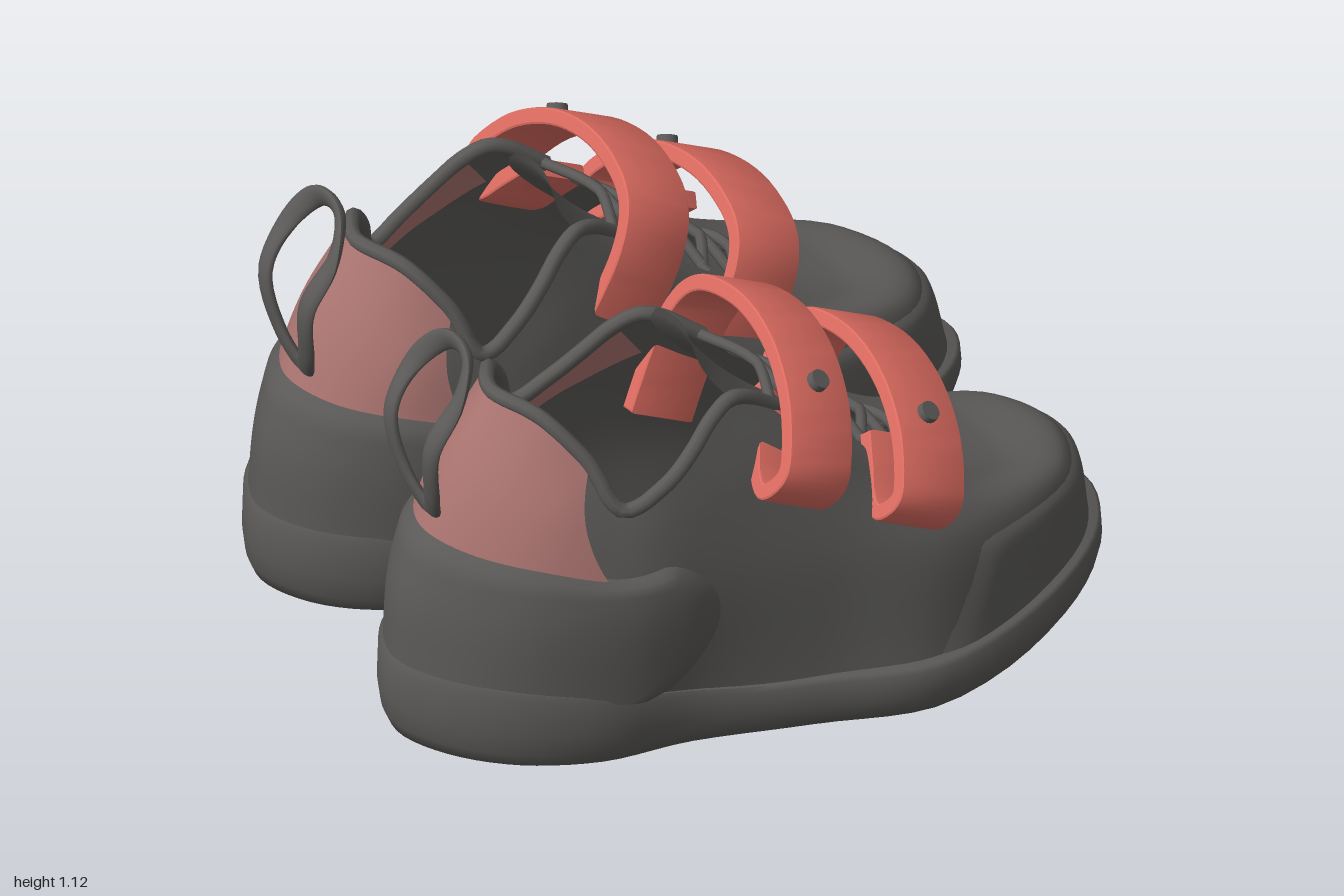
import * as THREE from 'three';
import { toCreasedNormals } from 'three/addons/utils/BufferGeometryUtils.js';

const V = (x, y, z) => new THREE.Vector3(x, y, z);
const N = 18; // control points in each loop: toe, outer side, heel, inner side

// Loop stations from toe to heel: [x, y, zInner, zOuter]
const SOLE = [[.95, 0, .37, .37], [.87, 0, .22, .59], [.63, 0, .105, .79], [.25, 0, .065, .91], [-.05, 0, .09, .83],
  [-.35, 0, .055, .765], [-.6, 0, .045, .76], [-.8, 0, .1, .68], [-.94, 0, .22, .54], [-1, 0, .38, .38]];
const BASE = [[.91, .17, .37, .37], [.83, .16, .23, .58], [.59, .15, .12, .77], [.27, .13, .09, .87], [-.02, .13, .11, .81],
  [-.32, .16, .075, .75], [-.54, .2, .06, .74], [-.76, .22, .12, .66], [-.9, .23, .23, .53], [-.96, .23, .38, .38]];
const MIDDLE = [[.83, .41, .4, .4], [.75, .41, .23, .62], [.53, .41, .16, .74], [.29, .43, .11, .81], [0, .47, .11, .79],
  [-.3, .45, .07, .76], [-.52, .45, .06, .745], [-.74, .45, .12, .66], [-.88, .45, .23, .52], [-.94, .45, .38, .38]];
const SHOULDER = [[.63, .43, .42, .42], [.58, .45, .28, .59], [.41, .5, .22, .67], [.22, .59, .19, .69], [-.05, .71, .17, .72],
  [-.33, .66, .1, .73], [-.52, .6, .09, .71], [-.68, .68, .14, .63], [-.79, .72, .25, .51], [-.83, .74, .38, .38]];
const COLLAR = [[.42, .48, .45, .45], [.36, .52, .34, .56], [.15, .67, .28, .59], [-.05, .83, .25, .62], [-.2, .91, .2, .65],
  [-.38, .77, .13, .7], [-.51, .7, .11, .68], [-.57, .82, .16, .61], [-.65, .92, .25, .51], [-.71, .94, .38, .38]];

function loop(st) {
  const outer = st.map(([x, y, , z]) => V(x, y, z));
  const inner = st.slice(1, -1).reverse().map(([x, y, z]) => V(x, y, z));
  return new THREE.CatmullRomCurve3([...outer, ...inner], true);
}
const at = (curve, u) => curve.getPoint((((u % N) + N) % N) / N);
const soleLoop = loop(SOLE), collarLoop = loop(COLLAR);
const upperLoops = [loop(BASE), loop(MIDDLE), loop(SHOULDER), collarLoop];

// Point on the upper, optionally pushed out along its normal
const skin = (u, v) => new THREE.CatmullRomCurve3(upperLoops.map(c => at(c, u))).getPoint(v);
function upperPoint(u, v, offset = 0) {
  const p = skin(u, v);
  if (!offset) return p;
  const e = .01;
  const du = skin(u + e, v).sub(skin(u - e, v));
  const dv = skin(u, Math.min(1, v + e)).sub(skin(u, Math.max(0, v - e)));
  return p.addScaledVector(dv.cross(du).normalize(), offset);
}

// Surface from a function of p and q in 0..1, p running round the shoe and q upwards
function grid(fn, np, nq, closed = false) {
  const pos = [], idx = [], cols = closed ? np : np + 1;
  for (let j = 0; j <= nq; j++)
    for (let i = 0; i < cols; i++) pos.push(...fn(i / np, j / nq).toArray());
  for (let j = 0; j < nq; j++)
    for (let i = 0; i < np; i++) {
      const a = j * cols + i, b = j * cols + (i + 1) % cols;
      idx.push(a, a + cols, b, b, a + cols, b + cols);
    }
  const g = new THREE.BufferGeometry();
  g.setAttribute('position', new THREE.Float32BufferAttribute(pos, 3));
  g.setIndex(idx);
  g.computeVertexNormals();
  return g;
}

const step = THREE.MathUtils.smoothstep;
const soleBottom = x => .02 * step(-x, 0, .8) + .1 * Math.pow(Math.max(0, (x - .25) / .7), 1.5);
const soleTop = x => .15 + .11 * step(-x, .1, .9) + .05 * step(x, .2, .95);

// Sole rings with a rounded lower edge: [inset towards the middle line, height fraction]
const SOLE_RINGS = [[1, 0], [.4, 0], [.15, .02], [.06, .1], [.02, .25], [0, .5], [.008, .92], [.03, 1], [.5, 1], [1, 1]];
function soleGeometry() {
  const g = grid((p, q) => {
    const [inset, h] = SOLE_RINGS[Math.round(q * (SOLE_RINGS.length - 1))];
    const o = at(soleLoop, p * N);
    const x = THREE.MathUtils.lerp(o.x, THREE.MathUtils.clamp(o.x, -.6, .5), inset);
    const z = THREE.MathUtils.lerp(o.z, .42, inset);
    return V(x, THREE.MathUtils.lerp(soleBottom(x), soleTop(x), h), z);
  }, 90, SOLE_RINGS.length - 1, true);
  return toCreasedNormals(g, 1);
}

// Band of even thickness following a flat path
function bandGeometry(points, thickness, width) {
  const curve = new THREE.SplineCurve(points.map(([x, y]) => new THREE.Vector2(x, y)));
  const left = [], right = [];
  for (let i = 0; i <= 60; i++) {
    const p = curve.getPoint(i / 60), t = curve.getTangent(i / 60);
    const n = new THREE.Vector2(-t.y, t.x).multiplyScalar(thickness / 2);
    left.push(p.clone().add(n));
    right.unshift(p.clone().sub(n));
  }
  const g = new THREE.ExtrudeGeometry(new THREE.Shape([...left, ...right]),
    { depth: width - .02, bevelEnabled: true, bevelSize: .006, bevelThickness: .01, bevelSegments: 2 });
  g.translate(0, 0, .01 - width);
  return toCreasedNormals(g, .6);
}

const tube = (pts, r, seg) => new THREE.TubeGeometry(new THREE.CatmullRomCurve3(pts), seg, r, 8);

export function createModel() {
  const dark = new THREE.MeshStandardMaterial({ name: 'charcoal', color: 0x5a5957, side: THREE.DoubleSide });
  const red = new THREE.MeshStandardMaterial({ name: 'coral red', color: 0xdb6b60 });
  const pink = new THREE.MeshStandardMaterial({ name: 'dusty pink', color: 0xa9736f });

  function shoe(name, mirrored) {
    const group = new THREE.Group();
    group.name = name;
    const add = (part, geo, mat) => {
      if (mirrored) { // flip across z and turn the corners round
        geo.scale(1, 1, -1);
        const n = geo.attributes.position.count;
        const idx = geo.index ? Array.from(geo.index.array) : Array.from({ length: n }, (_, i) => i);
        for (let i = 0; i < idx.length; i += 3) [idx[i], idx[i + 1]] = [idx[i + 1], idx[i]];
        geo.setIndex(idx);
      }
      const mesh = new THREE.Mesh(geo, mat);
      mesh.name = part;
      group.add(mesh);
    };

    add('sole', soleGeometry(), dark);
    add('upper', grid((p, q) => upperPoint(p * N, q), 108, 30, true), dark);

    // Raised rand round the toe
    add('toeRand', grid((p, q) => {
      const s = 2 * p - 1, edge = Math.min(1, 10 * (1 - Math.abs(s)), 8 * (1 - q));
      return upperPoint(s * (3.1 - .6 * q), q * .3, -.003 + .014 * edge);
    }, 50, 12), dark);

    // Rounded heel counter, thin coloured heel tab above it
    const seam = .52;
    add('heelCounter', grid((p, q) => {
      const s = 2 * p - 1, edge = Math.min(1, 12 * (1 - Math.abs(s)), 8 * (1 - q));
      const half = 3.45 + .65 * Math.pow(Math.max(0, Math.sin(Math.PI * q)), .7);
      return upperPoint(9 + s * half, q * seam, -.004 + .03 * edge);
    }, 60, 20), dark);
    add('heelTab', grid((p, q) =>
      upperPoint(9 + (2 * p - 1) * (2.75 - .7 * q), seam - .02 + q * (1.01 - seam), .007), 40, 12), pink);

    // Padded edge of the ankle opening, with a thin lining strip inside each side
    add('collarRoll', tube(Array.from({ length: 37 }, (_, i) => at(collarLoop, 3 + i / 3)), .02, 90), dark);
    for (const u of [4.3, 12.1])
      add('liningStrip', grid((p, q) => upperPoint(u + 1.6 * (1 - p), .8 + .17 * q, -.012), 12, 3), pink);

    // Tongue: [x, y, half width]
    const rows = [[.46, .44, .11], [.2, .6, .14], [0, .75, .15], [-.12, .87, .15], [-.18, .95, .13], [-.2, 1, .08]];
    const spine = new THREE.CatmullRomCurve3(rows.map(r => V(...r)));
    add('tongue', grid((p, q) => {
      const c = spine.getPoint(q), d = (1 - 2 * p) * c.z;
      return V(c.x - 2 * q * d * d, c.y - .9 * d * d, .44 - .05 * q + d);
    }, 12, 24), dark);

    // Crossed laces and their tag
    for (let i = 0; i < 5; i++) {
      const u = .8 + i * .45;
      for (const [a, b] of [[u, N - u - .5], [u + .5, N - u]]) {
        const p0 = at(collarLoop, a), p1 = at(collarLoop, b);
        const mid = p0.clone().lerp(p1, .5).add(V(.015, .035, 0));
        add('lace', tube([p0, mid, p1], .014, 12), dark);
      }
    }
    add('laceTag', new THREE.BoxGeometry(.05, .05, .06).translate(.45, .5, .43), dark);

    // Two straps with folded outer ends, each with a stud
    const fold = [[.17, -.09], [.155, .04], [.155, .16], [.19, .255], [.27, .31], [.42, .335], [.58, .305], [.72, .225],
      [.81, .12], [.825, .06], [.78, .0], [.73, .02], [.68, .08], [.62, .15]];
    for (const [part, x, y, k] of [['rearStrap', -.18, .71, 1], ['frontStrap', .14, .555, .88]]) {
      const m = new THREE.Matrix4().makeBasis(V(0, 0, 1), V(.42, .907, 0), V(-.907, .42, 0)).setPosition(x, y, 0);
      add(part, bandGeometry(fold.map(([z, h]) => [z, h * k]), .032, .19).applyMatrix4(m), red);
      const stud = new THREE.CylinderGeometry(.026, .03, .05, 14).rotateZ(-.6).translate(.69, .268 * k, -.095);
      add(part + 'Stud', stud.applyMatrix4(m), dark);
    }

    // Flat pull loop at the heel
    const ring = new THREE.CatmullRomCurve3([V(-.87, .64, .36), V(-.9, .72, .29), V(-.92, .88, .25), V(-.85, 1, .245),
      V(-.8, 1.075, .3), V(-.79, 1.09, .36), V(-.8, 1.075, .42), V(-.85, 1, .465), V(-.92, .88, .46), V(-.9, .72, .42)], true);
    add('pullLoop', grid((p, q) => {
      const a = q * 2 * Math.PI, t = ring.getTangent(p);
      const side = t.clone().cross(V(.9, .3, 0)).normalize(), face = side.clone().cross(t);
      return ring.getPoint(p).addScaledVector(side, .03 * Math.cos(a)).addScaledVector(face, .014 * Math.sin(a));
    }, 60, 12, true), dark);
    return group;
  }

  const model = new THREE.Group();
  model.name = 'pairOfShoes';
  const near = shoe('nearShoe', false), far = shoe('farShoe', true);
  far.position.set(.045, 0, -.005);
  model.add(near, far);
  return model;
}
